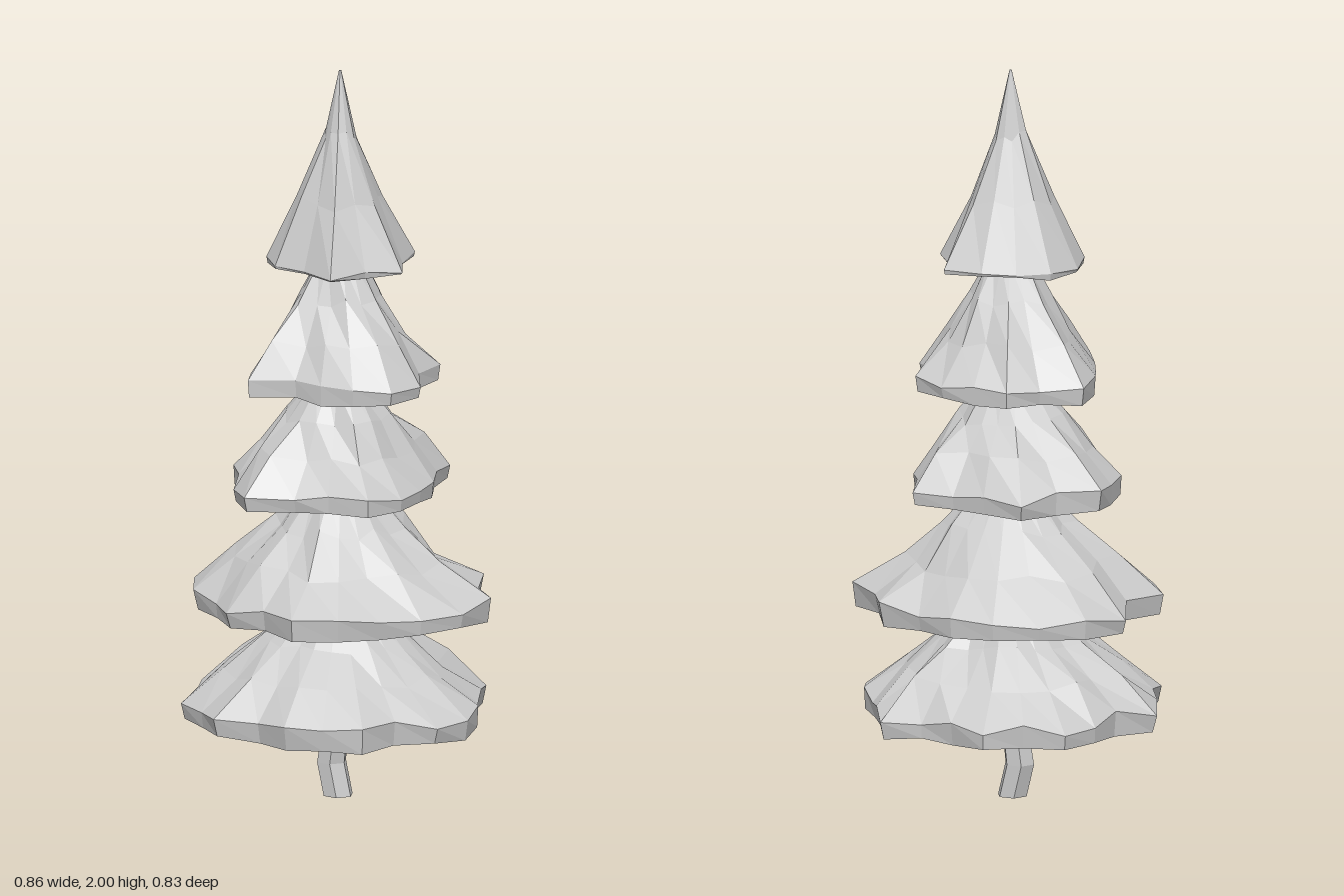
import * as THREE from 'three';

const material = new THREE.MeshStandardMaterial({ color: 0xcccccc, flatShading: true });

// Small seeded generator for the hand-cut unevenness.
let seed = 7;
const jitter = (amount) => {
  seed = (seed * 16807) % 2147483647;
  return (seed / 2147483647 - 0.5) * 2 * amount;
};

// Skin closed rings of points, ordered from the underside centre to the top centre.
function skin(rings) {
  const positions = [];
  const n = rings[0].length;
  const last = rings.length - 2;
  for (let r = 0; r <= last; r++) {
    for (let i = 0; i < n; i++) {
      const j = (i + 1) % n;
      const a = rings[r][i], b = rings[r + 1][i], c = rings[r + 1][j], d = rings[r][j];
      if (r < last) positions.push(...a, ...b, ...c);
      if (r > 0) positions.push(...a, ...c, ...d);
    }
  }
  const g = new THREE.BufferGeometry();
  g.setAttribute('position', new THREE.Float32BufferAttribute(positions, 3));
  g.computeVertexNormals();
  return g;
}

// One skirt of branches: ragged rim radii at even angles from +x towards +z,
// a short rim, then a concave slope up to the neck.
function tier({ name, radii, base, rim, top, neck, curve }) {
  const mean = radii.reduce((sum, r) => sum + r, 0) / radii.length;
  // A high keep value follows the ragged rim, a low one is rounder.
  const ring = (radius, y, keep, wobble, lift) => radii.map((r, i) => {
    const a = (i / radii.length) * Math.PI * 2;
    const q = radius * (1 + keep * (r / mean - 1)) * (1 + jitter(wobble));
    return [q * Math.cos(a), y + jitter(lift), q * Math.sin(a)];
  });
  const slope = [1 / 3, 2 / 3, 1].map((h) => ring(
    neck + (mean - neck) * (1 - h) ** curve,
    THREE.MathUtils.lerp(base + rim, top, h), 1 - h * 0.6, h < 1 ? 0.07 : 0, h < 1 ? 0.015 : 0));
  const mesh = new THREE.Mesh(skin([
    ring(0, base + 0.035, 0, 0, 0),
    ring(mean * 0.4, base + 0.03, 0, 0.1, 0.008),
    ring(mean * 0.98, base + 0.008, 1, 0.01, 0.008),
    ring(mean, base + rim, 1, 0.01, rim * 0.25),
    ...slope,
    ring(0, top, 0, 0, 0),
  ]), material);
  mesh.name = name;
  return mesh;
}

const tiers = [
  {
    name: 'bottomBranches', base: 0.21, rim: 0.065, top: 0.53, neck: 0.11, curve: 1.15,
    radii: [0.43, 0.42, 0.37, 0.42, 0.4, 0.4, 0.365, 0.43, 0.405, 0.43, 0.38, 0.4,
      0.43, 0.37, 0.4, 0.43, 0.4, 0.43, 0.375, 0.375, 0.425, 0.38, 0.37, 0.4],
  },
  {
    name: 'lowerBranches', base: 0.505, rim: 0.06, top: 0.85, neck: 0.09, curve: 1.2,
    radii: [0.41, 0.38, 0.36, 0.38, 0.41, 0.34, 0.37, 0.35, 0.39, 0.415,
      0.34, 0.42, 0.42, 0.4, 0.395, 0.38, 0.36, 0.4, 0.37, 0.43],
  },
  {
    name: 'middleBranches', base: 0.83, rim: 0.055, top: 1.14, neck: 0.08, curve: 1.1,
    radii: [0.27, 0.3, 0.33, 0.27, 0.27, 0.35, 0.31, 0.27, 0.3, 0.3,
      0.345, 0.29, 0.33, 0.28, 0.27, 0.32, 0.26, 0.26],
  },
  {
    name: 'upperBranches', base: 1.12, rim: 0.05, top: 1.48, neck: 0.06, curve: 1.15,
    radii: [0.27, 0.27, 0.24, 0.21, 0.2, 0.29, 0.24, 0.23, 0.25, 0.29, 0.23, 0.25, 0.23, 0.25, 0.27, 0.22],
  },
  {
    name: 'crown', base: 1.455, rim: 0.02, top: 2, neck: 0.003, curve: 1.4,
    radii: [0.21, 0.17, 0.22, 0.16, 0.19, 0.2, 0.2, 0.19, 0.175, 0.185, 0.22, 0.17],
  },
];

// Crooked six-sided trunk.
function trunk() {
  const ring = (x, y, r) => Array.from({ length: 6 }, (_, i) => {
    const a = (i / 6) * Math.PI * 2;
    return [x + r * Math.cos(a), y, 0.005 + r * Math.sin(a)];
  });
  const mesh = new THREE.Mesh(skin([
    ring(-0.003, 0, 0), ring(-0.003, 0, 0.042), ring(-0.025, 0.09, 0.042),
    ring(-0.007, 0.22, 0.038), ring(0, 0.26, 0.038), ring(0, 0.26, 0),
  ]), material);
  mesh.name = 'trunk';
  return mesh;
}

export function createModel() {
  seed = 7;
  const group = new THREE.Group();
  group.name = 'pineTree';
  group.add(trunk(), ...tiers.map(tier));
  return group;
}
